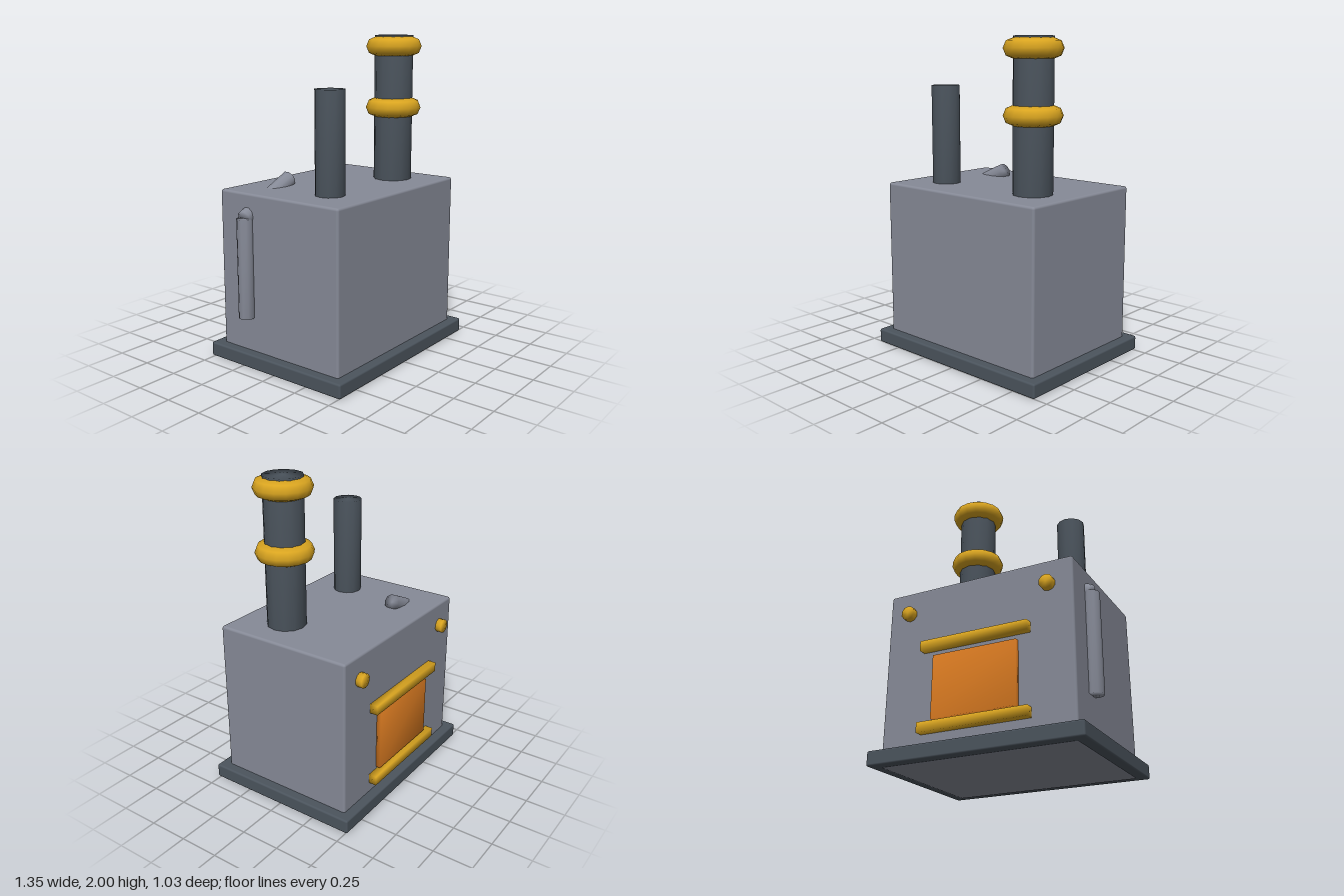
import * as THREE from 'three';
import { mergeVertices } from 'three/addons/utils/BufferGeometryUtils.js';
import { RoundedBoxGeometry } from 'three/addons/geometries/RoundedBoxGeometry.js';

const mat = (name, color) => {
  const m = new THREE.MeshStandardMaterial({ color });
  m.name = name;
  return m;
};

// Weld corners so shading runs smoothly over the edges
function soften(geometry) {
  geometry.deleteAttribute('normal');
  geometry.deleteAttribute('uv');
  const welded = mergeVertices(geometry, 1e-4);
  welded.computeVertexNormals();
  return welded;
}

export function createModel() {
  const steel = mat('grey steel', 0x868a97);
  const iron = mat('dark iron', 0x4b545d);
  const brass = mat('brass', 0xdaa520);
  const glow = mat('furnace orange', 0xde7d22);

  const model = new THREE.Group();
  model.name = 'boiler';

  function add(name, geometry, material, x, y, z) {
    const mesh = new THREE.Mesh(geometry, material);
    mesh.name = name;
    mesh.position.set(x, y, z);
    model.add(mesh);
    return mesh;
  }
  const rod = (r, length, sides) => soften(new THREE.CylinderGeometry(r, r, length, sides));
  const block = (w, h, d) => soften(new THREE.BoxGeometry(w, h, d));

  // Housing and plinth
  add('plinth', new RoundedBoxGeometry(1.34, 0.09, 1.03, 2, 0.012), iron, 0, 0.049, 0);
  add('housing', new RoundedBoxGeometry(1.22, 1.08, 0.91, 2, 0.016), steel, 0, 0.54, 0);

  // Chimney with two brass rings, and the thinner flue
  add('chimney', rod(0.122, 1.0, 12), iron, 0.35, 1.5, 0.155);
  for (const y of [1.545, 1.93]) {
    const ring = add('chimneyRing', new THREE.TorusGeometry(0.118, 0.06, 8, 16), brass, 0.35, y, 0.155);
    ring.rotation.x = Math.PI / 2;
  }
  add('flue', rod(0.091, 0.7, 12), iron, -0.345, 1.35, 0.19);

  // Side pipe: an upright length and a sloping length that passes through the housing
  add('sidePipe', rod(0.051, 0.62, 10), steel, -0.63, 0.62, -0.235);
  const low = new THREE.Vector3(-0.63, 0.93, -0.235);
  const high = new THREE.Vector3(-0.23, 1.115, -0.235);
  const dir = high.clone().sub(low);
  const mid = low.clone().add(high).multiplyScalar(0.5);
  const slope = add('slopingPipe', rod(0.051, dir.length(), 10), steel, mid.x, mid.y, mid.z);
  slope.quaternion.setFromUnitVectors(new THREE.Vector3(0, 1, 0), dir.normalize());

  // Furnace door between two brass bars on the back
  add('furnaceDoor', block(0.54, 0.385, 0.05), glow, 0, 0.428, -0.46);
  for (const y of [0.19, 0.685]) add('doorBar', block(0.695, 0.06, 0.06), brass, 0, y, -0.477);

  // Brass knobs on the back
  for (const x of [-0.46, 0.46]) {
    const knob = add('knob', rod(0.044, 0.05, 10), brass, x, 0.93, -0.47);
    knob.rotation.x = Math.PI / 2;
  }
  return model;
}
